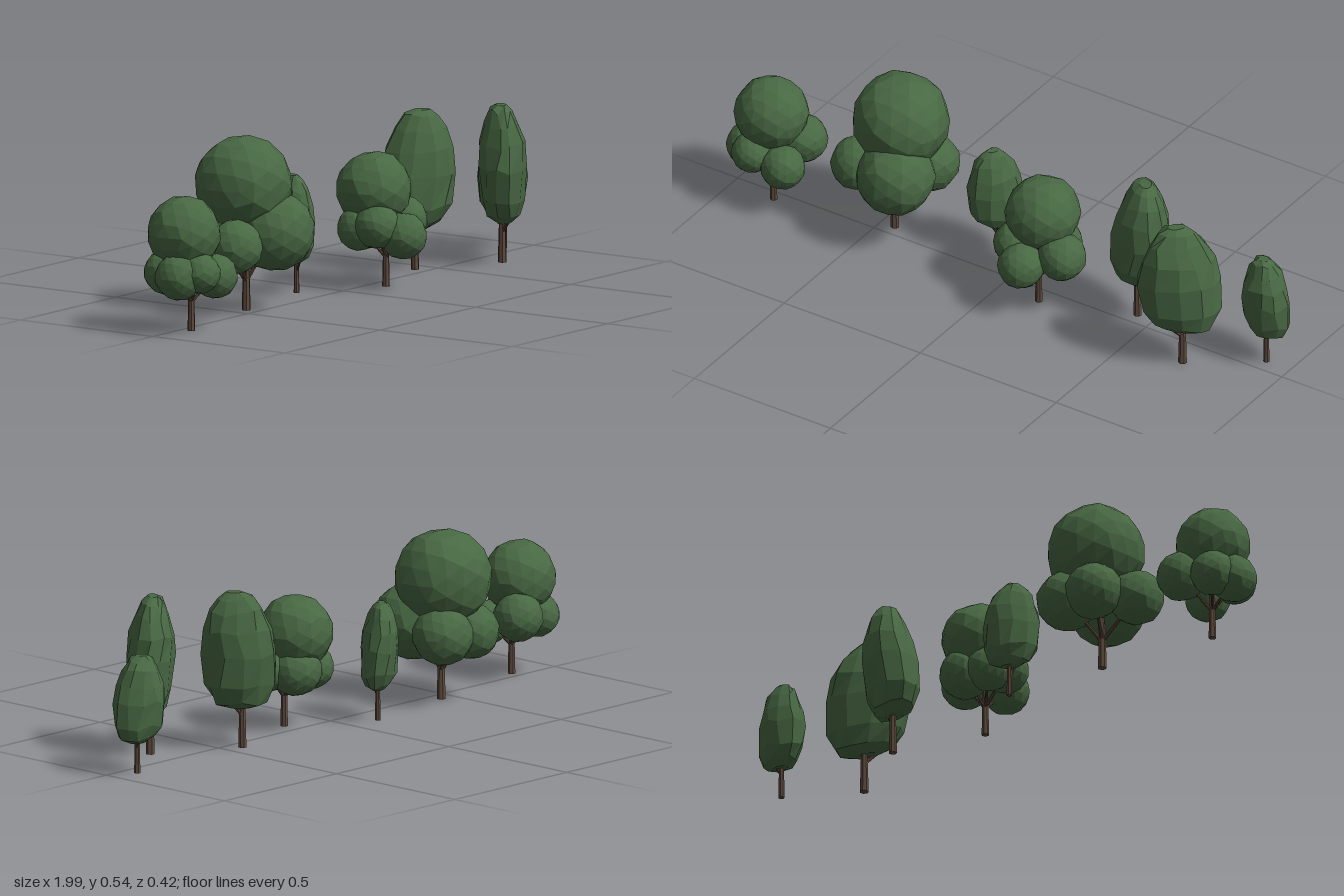
import * as THREE from 'three';

const leaf = new THREE.MeshStandardMaterial({ color: 0x486843 });
leaf.name = 'leafGreen';
const bark = new THREE.MeshStandardMaterial({ color: 0x5e4a3d });
bark.name = 'barkBrown';

// repeatable pseudo-random value 0..1 from three numbers
function hash(a, b, c) {
  const s = Math.sin(a * 127.1 + b * 311.7 + c * 74.7) * 43758.5453;
  return s - Math.floor(s);
}

// mesh with flat facets
function mesh(name, geometry, material) {
  const g = geometry.index ? geometry.toNonIndexed() : geometry;
  g.computeVertexNormals();
  const m = new THREE.Mesh(g, material);
  m.name = name;
  return m;
}

// tapered, faceted limb between two points
function limb(name, from, to, r0, r1) {
  const a = new THREE.Vector3(...from), b = new THREE.Vector3(...to);
  const dir = b.clone().sub(a);
  const m = mesh(name, new THREE.CylinderGeometry(r1, r0, dir.length(), 7), bark);
  m.position.copy(a).add(b).multiplyScalar(0.5);
  m.quaternion.setFromUnitVectors(new THREE.Vector3(0, 1, 0), dir.normalize());
  return m;
}

// slightly irregular faceted foliage ball
function foliageBall([x, y, z, r], seed) {
  const g = new THREE.IcosahedronGeometry(1, 2);
  const p = g.attributes.position, v = new THREE.Vector3();
  for (let i = 0; i < p.count; i++) {
    v.fromBufferAttribute(p, i);
    const [a, b, c] = v.toArray().map((n) => Math.round(n * 50) / 50);
    v.multiplyScalar(r * (0.98 + 0.05 * hash(a + seed, b, c)));
    p.setXYZ(i, v.x, v.y, v.z);
  }
  const m = mesh('foliageBall', g, leaf);
  m.position.set(x, y, z);
  return m;
}

// tall crown outline: height, width and depth as fractions
const outline = [
  [0, 0.35, 0.27], [0.06, 0.76, 0.65], [0.2, 0.98, 0.88], [0.48, 0.99, 1],
  [0.68, 0.87, 0.94], [0.84, 0.67, 0.74], [0.95, 0.45, 0.47], [1, 0.2, 0.24],
];

// lumpy tall crown lofted through jittered rings that follow the outline
function tallCrown({ x, z, y0, y1, w, d, lean, skew }, seed) {
  const n = 11, last = outline.length - 1, pos = [], idx = [];
  outline.forEach(([t, fw, fd], i) => {
    for (let j = 0; j < n; j++) {
      const a = ((j + 0.4 * hash(seed, i, j)) / n) * Math.PI * 2;
      const k = 0.95 + 0.11 * hash(j, seed, i);
      const lift = i % last ? (hash(i, j, seed) - 0.5) * 0.018 : 0;
      pos.push(x + lean * t + w * fw * k * Math.cos(a),
        y0 + (y1 - y0) * t + lift,
        z + d * fd * k * Math.sin(a + skew));
    }
  });
  pos.push(x, y0, z, x + lean, y1, z);
  const bottom = outline.length * n, top = bottom + 1;
  for (let j = 0; j < n; j++) {
    const k = (j + 1) % n;
    for (let i = 0; i < last; i++) {
      const a = i * n + j, b = i * n + k;
      idx.push(a, a + n, b, a + n, b + n, b);
    }
    idx.push(bottom, j, k, top, last * n + k, last * n + j);
  }
  const g = new THREE.BufferGeometry();
  g.setAttribute('position', new THREE.Float32BufferAttribute(pos, 3));
  g.setIndex(idx);
  return mesh('tallCrown', g, leaf);
}

// round tree: trunk, then a main ball and lower balls [x, y, z, radius]
function roundTree(x, z, r, seed, balls) {
  const tree = new THREE.Group();
  tree.name = 'roundTree';
  const [main, ...lower] = balls;
  tree.add(limb('trunk', [x, 0, z], [x, 0.13, z], r, r * 0.75));
  tree.add(limb('upperTrunk', [x, 0.12, z], main.slice(0, 3), r * 0.75, r * 0.4));
  lower.forEach((b) =>
    tree.add(limb('branch', [x, 0.09, z], b.slice(0, 3), r * 0.45, r * 0.25)));
  balls.forEach((b, i) => tree.add(foliageBall(b, seed + i)));
  return tree;
}

// tall tree: trunk with one side branch, and a lofted crown
function tallTree(x, z, r, branch, seed, crown) {
  const tree = new THREE.Group();
  tree.name = 'tallTree';
  const [bx, by, bz] = branch;
  tree.add(limb('trunk', [x, 0, z], [x, 0.2, z], r, r * 0.6));
  tree.add(limb('branch', [x, by - 0.05, z], [bx, by, bz], r * 0.45, r * 0.3));
  tree.add(tallCrown(crown, seed));
  return tree;
}

export function createModel() {
  const group = new THREE.Group();
  group.name = 'treeRow';
  group.add(
    roundTree(-0.845, 0.035, 0.012, 1, [
      [-0.863, 0.305, 0.02, 0.114], [-0.925, 0.18, 0.045, 0.073],
      [-0.885, 0.19, 0.095, 0.064], [-0.782, 0.165, 0.08, 0.069],
      [-0.79, 0.2, -0.045, 0.077], [-0.9, 0.185, -0.02, 0.07],
    ]),
    roundTree(-0.45, -0.042, 0.014, 8, [
      [-0.44, 0.388, -0.06, 0.15], [-0.4, 0.245, 0.03, 0.122],
      [-0.56, 0.215, -0.005, 0.085], [-0.375, 0.225, -0.12, 0.094],
      [-0.495, 0.22, -0.125, 0.088],
    ]),
    roundTree(0.145, 0.058, 0.012, 15, [
      [0.135, 0.302, 0.02, 0.116], [0.232, 0.195, 0.06, 0.075],
      [0.13, 0.167, 0.135, 0.072], [0.075, 0.2, 0.075, 0.071],
      [0.165, 0.19, -0.01, 0.08], [0.08, 0.185, 0.005, 0.07],
    ]),
    tallTree(-0.108, -0.098, 0.009, [-0.12, 0.115, -0.07], 1,
      { x: -0.11, z: -0.097, y0: 0.097, y1: 0.37, w: 0.075, d: 0.076, lean: -0.015, skew: -0.4 }),
    tallTree(0.44, -0.045, 0.013, [0.48, 0.15, -0.03], 2,
      { x: 0.437, z: -0.042, y0: 0.125, y1: 0.495, w: 0.107, d: 0.098, lean: 0.035, skew: 0.3 }),
    tallTree(0.7, 0.098, 0.014, [0.68, 0.145, 0.145], 3,
      { x: 0.702, z: 0.105, y0: 0.125, y1: 0.495, w: 0.112, d: 0.098, lean: -0.02, skew: -0.5 }),
    tallTree(0.912, -0.048, 0.01, [0.93, 0.125, -0.07], 4,
      { x: 0.914, z: -0.052, y0: 0.097, y1: 0.37, w: 0.085, d: 0.067, lean: -0.015, skew: 0.1 }),
  );
  return group;
}
